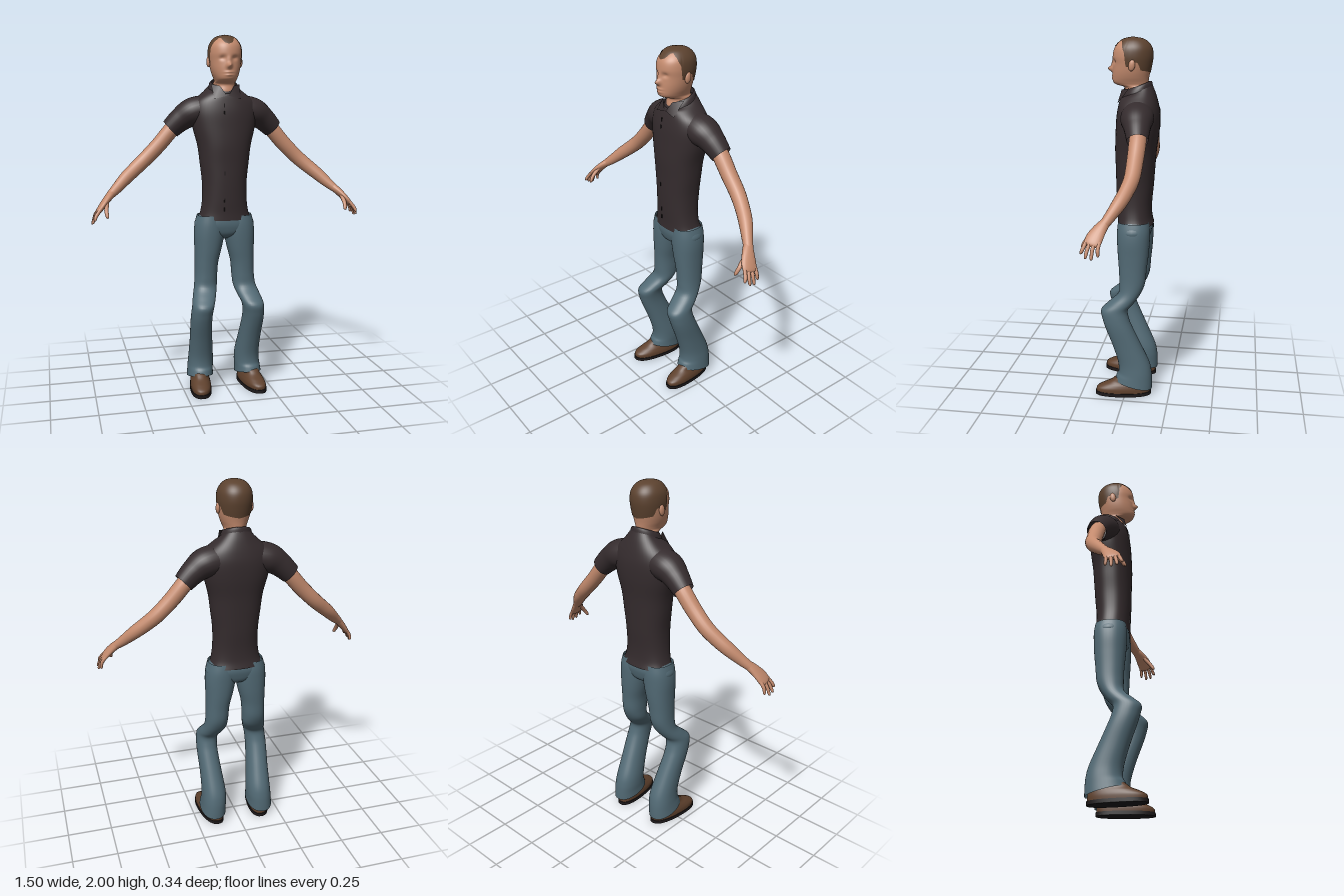
import * as THREE from 'three';
import { toCreasedNormals } from 'three/addons/utils/BufferGeometryUtils.js';

const mat = (name, color, side = THREE.FrontSide) => {
  const m = new THREE.MeshStandardMaterial({ color, side });
  m.name = name;
  return m;
};

// Smooth interpolation through equally long rows of numbers, t from 0 to 1
function sample(rows, t) {
  const f = Math.min(Math.max(t, 0), 1) * (rows.length - 1);
  const i = Math.min(Math.floor(f), rows.length - 2), u = f - i;
  const at = k => rows[Math.min(Math.max(k, 0), rows.length - 1)];
  const [a, b, c, d] = [at(i - 1), at(i), at(i + 1), at(i + 2)];
  return b.map((p, k) => p + 0.5 * u * (c[k] - a[k] +
    u * (2 * a[k] - 5 * p + 4 * c[k] - d[k] + u * (3 * (p - c[k]) + d[k] - a[k]))));
}

// Closed-ring surface from point(t, angle)
function skin(point, steps, segs) {
  const pos = [], idx = [];
  for (let i = 0; i <= steps; i++)
    for (let j = 0; j < segs; j++) pos.push(...point(i / steps, (j / segs) * Math.PI * 2));
  for (let i = 0; i < steps; i++)
    for (let j = 0; j < segs; j++) {
      const a = i * segs + j, b = i * segs + (j + 1) % segs;
      idx.push(a, b, b + segs, a, b + segs, a + segs);
    }
  const g = new THREE.BufferGeometry();
  g.setAttribute('position', new THREE.Float32BufferAttribute(pos, 3));
  g.setIndex(idx);
  g.computeVertexNormals();
  return g;
}

// Horizontal ring: row = [y, centre x, half width, front z, back z, tilt]
function ring([y, xc, w, zf, zb, tilt = 0], a, p) {
  const pw = v => Math.sign(v) * Math.abs(v) ** (2 / p);
  const s = pw(Math.sin(a)), c = pw(Math.cos(a));
  return [xc + w * s, y + tilt * c, (zf + zb) / 2 + c * (zf - zb) / 2];
}
function upright(rows, p, steps = 40, segs = 36) {
  const full = rows.map(r => [...r, 0].slice(0, 6));
  return skin((t, a) => ring(sample(full, t), a, p), steps, segs);
}

// Limb along a path: row = [x, y, z, radius in depth, radius across]
function limb(rows, steps = 24, segs = 20) {
  return skin((t, a) => {
    const [x, y, z, rn, rb] = sample(rows, t);
    const [px, py, pz] = sample(rows, t - 0.01), [qx, qy, qz] = sample(rows, t + 0.01);
    const T = new THREE.Vector3(qx - px, qy - py, qz - pz).normalize();
    const n = new THREE.Vector3(0, 0, 1).addScaledVector(T, -T.z).normalize();
    const b = new THREE.Vector3().crossVectors(T, n);
    return new THREE.Vector3(x, y, z).addScaledVector(n, rn * Math.cos(a))
      .addScaledVector(b, rb * Math.sin(a)).toArray();
  }, steps, segs);
}

// Mirror a geometry across x, keeping faces outward
function mirrored(geo) {
  const g = geo.index ? geo.toNonIndexed() : geo.clone();
  for (const key of ['position', 'normal']) {
    const at = g.attributes[key];
    for (let i = 0; i < at.count; i += 3) {
      const [a, b, c] = [0, 1, 2].map(k => [-at.getX(i + k), at.getY(i + k), at.getZ(i + k)]);
      at.setXYZ(i, ...a);
      at.setXYZ(i + 1, ...c);
      at.setXYZ(i + 2, ...b);
    }
  }
  return g;
}

// Head and neck surface
const headRows = [
  [1.62, 0, 0.066, 0.02, -0.11], [1.69, 0, 0.061, 0.032, -0.107], [1.735, 0, 0.06, 0.026, -0.102],
  [1.75, 0, 0.058, 0.07, -0.102], [1.765, 0, 0.063, 0.088, -0.103], [1.79, 0, 0.073, 0.09, -0.106],
  [1.82, 0, 0.081, 0.089, -0.112], [1.86, 0, 0.087, 0.086, -0.12], [1.9, 0, 0.09, 0.089, -0.125],
  [1.94, 0, 0.085, 0.08, -0.12], [1.97, 0, 0.067, 0.055, -0.1], [1.988, 0, 0.043, 0.027, -0.07],
  [1.997, 0, 0.001, -0.017, -0.019]];
const bump = (v, c, r) => Math.exp(-(((v - c) / r) ** 2));
function headPoint(t, a) {
  const [x, y, z] = ring(sample(headRows, t), a, 2.1);
  if (Math.cos(a) < 0.3) return [x, y, z];
  const nose = 0.028 * bump(x, 0, 0.013) * (bump(y, 1.833, 0.015) + 0.35 * bump(y, 1.862, 0.02));
  const lips = 0.006 * bump(x, 0, 0.022) * (bump(y, 1.797, 0.006) + bump(y, 1.782, 0.006));
  const eyes = 0.009 * bump(Math.abs(x), 0.034, 0.016) * bump(y, 1.872, 0.012);
  return [x, y, z + nose + lips - eyes];
}

// Hairline height by angle from the front, in degrees
const hairline = [[0, 1.945], [15, 1.953], [30, 1.975], [42, 1.977], [58, 1.957], [72, 1.92],
  [78, 1.85], [88, 1.845], [95, 1.875], [110, 1.868], [122, 1.83], [180, 1.815]];
function hairPoint(t, a) {
  const d = Math.abs(a > Math.PI ? a - 2 * Math.PI : a) * 180 / Math.PI;
  const k = Math.max(1, hairline.findIndex(h => h[0] >= d - 1e-6));
  const [p, q] = [hairline[k - 1], hairline[k]];
  const y = p[1] + (q[1] - p[1]) * (d - p[0]) / (q[0] - p[0]);
  let lo = 0.4, hi = 1;
  for (let i = 0; i < 25; i++) {
    const m = (lo + hi) / 2;
    if (sample(headRows, m)[0] < y) lo = m; else hi = m;
  }
  const v = headPoint(lo + (1 - lo) * t, a);
  return [v[0] * 1.03, 1.88 + (v[1] - 1.88) * 1.025, -0.02 + (v[2] + 0.02) * 1.03];
}

export function createModel() {
  const model = new THREE.Group();
  model.name = 'standingMan';
  const skinTone = mat('skin', 0xc48b6e);
  const hair = mat('hair', 0x5c422f, THREE.DoubleSide);
  const shirt = mat('shirt', 0x352c2e, THREE.DoubleSide);
  const jeans = mat('jeans', 0x526a75, THREE.DoubleSide);
  const leather = mat('shoeLeather', 0x5f412d);
  const dark = mat('darkSole', 0x1d191a);
  const add = (name, geo, m) => {
    const mesh = new THREE.Mesh(geo, m);
    mesh.name = name;
    model.add(mesh);
  };
  const pair = (name, geo, m) => {
    add('left' + name, geo, m);
    add('right' + name, mirrored(geo), m);
  };

  // Head
  add('headAndNeck', skin(headPoint, 96, 80), skinTone);
  add('hair', skin(hairPoint, 24, 120), hair);
  pair('Ear', new THREE.SphereGeometry(1, 16, 12).scale(0.011, 0.03, 0.018)
    .rotateX(-0.15).translate(0.09, 1.855, -0.025), skinTone);

  // Shirt body, sleeves and collar
  const body = [[0.985, 0, 0.152, 0.062, -0.137], [1.03, 0, 0.136, 0.062, -0.127],
    [1.1, 0, 0.126, 0.066, -0.126], [1.2, 0, 0.126, 0.07, -0.135], [1.3, 0, 0.137, 0.072, -0.142],
    [1.4, 0, 0.15, 0.075, -0.15], [1.5, 0, 0.175, 0.071, -0.163], [1.58, 0, 0.185, 0.066, -0.166],
    [1.64, 0, 0.17, 0.056, -0.158], [1.69, 0, 0.115, 0.046, -0.142, -0.012],
    [1.715, 0, 0.082, 0.036, -0.125, -0.032]];
  add('shirtBody', upright(body, 2.3, 60, 48), shirt);
  pair('Sleeve', limb([[0.07, 1.6, -0.055, 0.085, 0.08], [0.17, 1.583, -0.065, 0.087, 0.08],
    [0.235, 1.545, -0.075, 0.069, 0.067], [0.295, 1.49, -0.085, 0.055, 0.056]], 24, 28), shirt);
  add('collarBand', upright([[1.70, 0, 0.089, 0.04, -0.128, -0.03],
    [1.73, 0, 0.08, 0.032, -0.122, -0.035], [1.745, 0, 0.07, 0.02, -0.113, -0.025]], 2, 8), shirt);
  const wing = new THREE.BufferGeometry();
  wing.setAttribute('position', new THREE.Float32BufferAttribute([
    0.004, 1.672, 0.054, 0.074, 1.655, 0.054, 0.04, 1.725, 0.036, 0.08, 1.735, -0.01], 3));
  wing.setIndex([0, 1, 2, 1, 3, 2]);
  wing.computeVertexNormals();
  pair('CollarWing', wing, shirt);
  for (const [y, z] of [[1.05, 0.064], [1.1, 0.066], [1.25, 0.071], [1.58, 0.066], [1.62, 0.061]])
    add('button', new THREE.BoxGeometry(0.006, 0.022, 0.005).translate(-0.02, y, z), dark);

  // Arms and hands
  pair('Arm', limb([[0.24, 1.54, -0.083, 0.042, 0.042], [0.297, 1.478, -0.085, 0.045, 0.044],
    [0.36, 1.405, -0.083, 0.043, 0.043], [0.435, 1.33, -0.078, 0.041, 0.041],
    [0.495, 1.277, -0.06, 0.038, 0.039], [0.55, 1.23, -0.035, 0.036, 0.036],
    [0.605, 1.178, 0, 0.029, 0.029], [0.645, 1.143, 0.026, 0.025, 0.022]], 40), skinTone);
  pair('Palm', limb([[0.635, 1.152, 0.02, 0.025, 0.022], [0.662, 1.125, 0.042, 0.034, 0.02],
    [0.692, 1.09, 0.063, 0.042, 0.017], [0.713, 1.062, 0.072, 0.038, 0.013],
    [0.72, 1.052, 0.075, 0.01, 0.003]]), skinTone);
  const fingers = [['Index', 0.106, [0.733, 1.025, 0.122]], ['Middle', 0.085, [0.744, 1.008, 0.098]],
    ['Ring', 0.064, [0.744, 1.002, 0.07]], ['Little', 0.043, [0.734, 1.014, 0.04]]];
  const finger = (a, m, b, r) => limb([[...a, r, r], [...m, r, r],
    [...b, r * 0.75, r * 0.75], [b[0], b[1] - 0.005, b[2], 0.001, 0.001]], 10, 10);
  for (const [name, z, tip] of fingers)
    pair(name + 'Finger', finger([0.703, 1.077, z - 0.006],
      [0.728, 1.043, (z + tip[2]) / 2], tip, 0.0095), skinTone);
  pair('Thumb', finger([0.665, 1.112, 0.068], [0.672, 1.072, 0.105], [0.668, 1.04, 0.126], 0.0115), skinTone);

  // Jeans
  add('jeansHips', upright([[0.875, 0, 0.03, 0.0, -0.07], [0.9, 0, 0.1, 0.04, -0.11],
    [0.94, 0, 0.165, 0.055, -0.126], [0.98, 0, 0.164, 0.058, -0.13],
    [1.03, 0, 0.125, 0.05, -0.115]], 2.3, 24), jeans);
  const leg = [[0.065, 0.07, 0.218, 0.06, -0.152, 0.025], [0.1, 0.07, 0.214, 0.052, -0.152, 0.015],
    [0.14, 0.068, 0.21, 0.04, -0.148], [0.2, 0.07, 0.206, 0.045, -0.133],
    [0.3, 0.081, 0.206, 0.075, -0.088], [0.4, 0.09, 0.21, 0.112, -0.042],
    [0.46, 0.09, 0.209, 0.131, -0.018], [0.51, 0.082, 0.204, 0.138, -0.012],
    [0.55, 0.066, 0.194, 0.098, -0.045], [0.6, 0.05, 0.179, 0.046, -0.08],
    [0.66, 0.045, 0.172, 0.04, -0.104], [0.74, 0.038, 0.17, 0.043, -0.112],
    [0.82, 0.018, 0.171, 0.05, -0.121], [0.9, 0.002, 0.173, 0.055, -0.126],
    [0.96, 0, 0.168, 0.055, -0.127], [1.01, 0.01, 0.155, 0.05, -0.12]]
    .map(([y, inner, outer, ...rest]) => [y, (inner + outer) / 2, (outer - inner) / 2, ...rest]);
  pair('JeansLeg', upright(leg, 2.2, 70), jeans);

  // Shoes, toes turned slightly outward
  const turnOut = g => {
    const p = g.attributes.position;
    for (let i = 0; i < p.count; i++) p.setX(i, p.getX(i) + 0.11 * p.getZ(i));
    g.computeVertexNormals();
    return g;
  };
  pair('ShoeUpper', turnOut(upright([[0.015, 0.15, 0.058, 0.165, -0.14], [0.04, 0.15, 0.058, 0.163, -0.14],
    [0.06, 0.15, 0.053, 0.13, -0.136], [0.08, 0.149, 0.046, 0.085, -0.13],
    [0.11, 0.148, 0.042, 0.04, -0.12], [0.115, 0.148, 0.002, -0.04, -0.05]], 2.4)), leather);
  const soleRows = [[0, 0.15, 0.001, 0.01, 0.009], [0, 0.15, 0.061, 0.17, -0.145],
    [0.02, 0.15, 0.061, 0.17, -0.145], [0.02, 0.15, 0.001, 0.01, 0.009]];
  pair('ShoeSole', toCreasedNormals(turnOut(skin((t, a) =>
    ring(soleRows[Math.round(t * 3)], a, 2.4), 3, 36)), 0.7), dark);

  return model;
}
